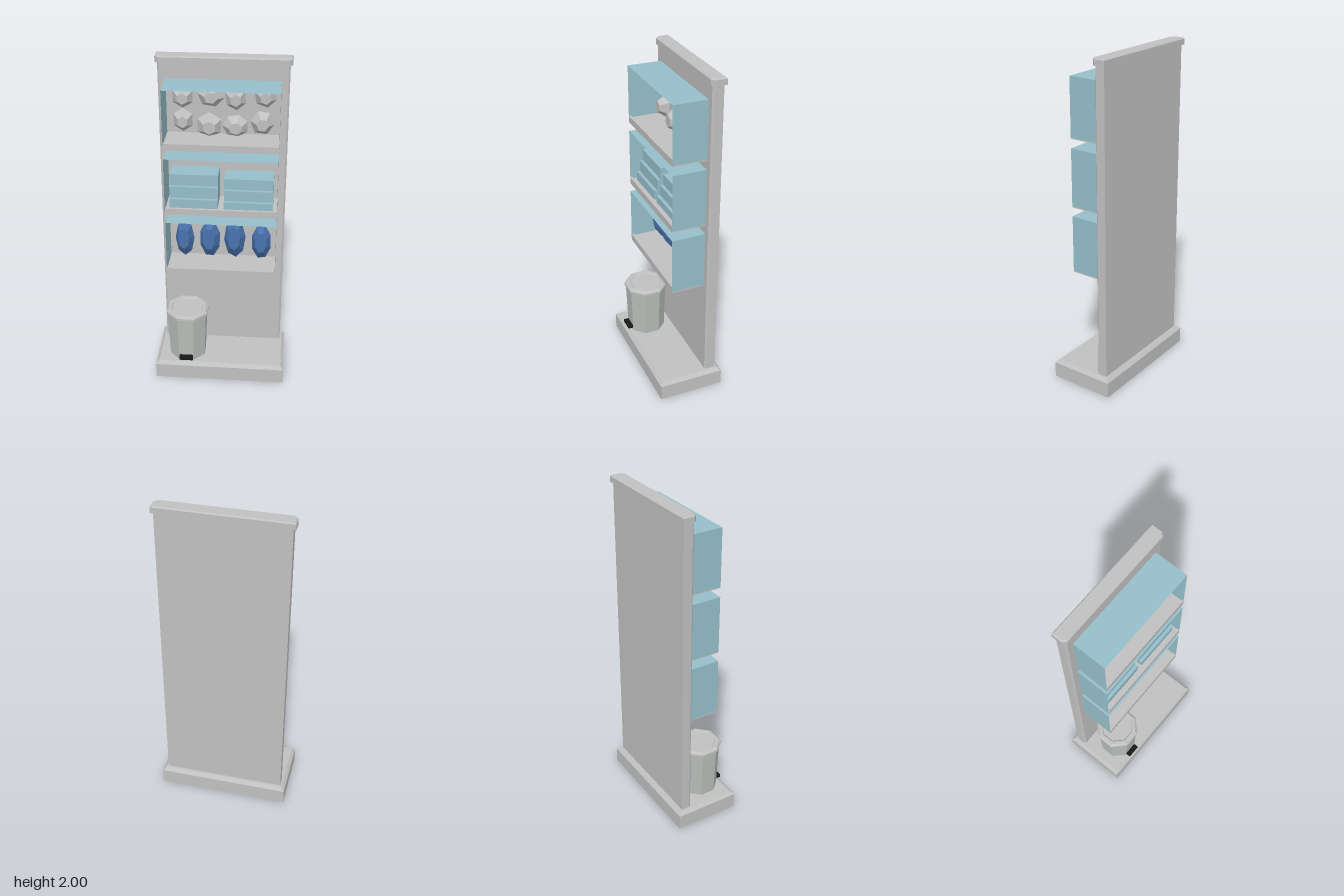
import * as THREE from 'three';

const mat = (name, color) => {
  const m = new THREE.MeshStandardMaterial({ color });
  m.name = name;
  return m;
};

// Faceted normals for low-poly parts
function facet(geo) {
  const g = geo.index ? geo.toNonIndexed() : geo;
  g.computeVertexNormals();
  return g;
}

// Rectangle in x/z with optional chamfered front corners
function outline(hx, back, front, c = 0) {
  return c
    ? [[hx, front - c], [hx, back], [-hx, back], [-hx, front - c], [-hx + c, front], [hx - c, front]]
    : [[hx, front], [hx, back], [-hx, back], [-hx, front]];
}

// Closed solid through matching outlines stacked in y: [[y, outline], ...]
function loft(levels) {
  const pos = [];
  const n = levels[0][1].length;
  const v = (l, i) => {
    const [y, ring] = levels[l];
    const [x, z] = ring[i % n];
    return [x, y, z];
  };
  for (let l = 0; l < levels.length - 1; l++) {
    for (let i = 0; i < n; i++) {
      const a = v(l, i), b = v(l, i + 1), c = v(l + 1, i + 1), d = v(l + 1, i);
      pos.push(...a, ...b, ...c, ...a, ...c, ...d);
    }
  }
  const t = levels.length - 1;
  for (let i = 1; i < n - 1; i++) {
    pos.push(...v(t, 0), ...v(t, i), ...v(t, i + 1));
    pos.push(...v(0, 0), ...v(0, i + 1), ...v(0, i));
  }
  const g = new THREE.BufferGeometry();
  g.setAttribute('position', new THREE.Float32BufferAttribute(pos, 3));
  g.computeVertexNormals();
  return g;
}

// Eight-sided turned shape with flats facing front and sides; radii are measured to the flats
function octagon(profile) {
  const k = 1 / Math.cos(Math.PI / 8);
  const pts = profile.map(([r, y]) => new THREE.Vector2(r * k, y));
  return facet(new THREE.LatheGeometry(pts, 8, Math.PI / 8));
}

// Faceted lump with a flat cap facing +z
function lump(rx, ry, rz, sides, cap, spin, lift) {
  const pts = [[0, -0.85], [cap, -0.85], [1, 0], [cap, 0.85], [0, 0.85]].map(p => new THREE.Vector2(...p));
  const g = new THREE.LatheGeometry(pts, sides, spin);
  g.rotateX(Math.PI / 2);
  const p = g.attributes.position;
  for (let i = 0; i < p.count; i++) {
    const z = p.getZ(i);
    p.setXYZ(i, (p.getX(i) + lift[0] * z) * rx, (p.getY(i) + lift[1] * z) * ry, z * rz);
  }
  return facet(g);
}

export function createModel() {
  const grey = mat('grey', 0xc0c0c0);
  const paleBlue = mat('paleBlue', 0x95bec9);
  paleBlue.side = THREE.DoubleSide;
  const darkBlue = mat('darkBlue', 0x4a72ad);
  const binGrey = mat('binGrey', 0xb8bdb9);
  const black = mat('black', 0x181818);

  const root = new THREE.Group();
  root.name = 'shelfStand';
  const add = (name, geo, material, parent = root, x = 0, y = 0, z = 0) => {
    const m = new THREE.Mesh(geo, material);
    m.name = name;
    m.position.set(x, y, z);
    parent.add(m);
    return m;
  };
  // Box given by its limits
  const block = (name, x0, x1, y0, y1, z0, z1, material, parent) =>
    add(name, new THREE.BoxGeometry(x1 - x0, y1 - y0, z1 - z0), material, parent,
      (x0 + x1) / 2, (y0 + y1) / 2, (z0 + z1) / 2);

  // Plinth, back panel and top cap
  add('base', loft([
    [0, outline(0.4, -0.2, 0.2)], [0.095, outline(0.4, -0.2, 0.2)], [0.115, outline(0.38, -0.18, 0.18)],
  ]), grey);
  add('backPanel', loft([
    [0.11, outline(0.37, -0.167, -0.103, 0.01)], [1.965, outline(0.37, -0.167, -0.103, 0.01)],
  ]), grey);
  add('topCap', loft([
    [1.96, outline(0.384, -0.178, -0.092, 0.02)], [1.993, outline(0.384, -0.178, -0.092, 0.02)],
    [2, outline(0.377, -0.171, -0.099, 0.018)],
  ]), grey);

  // Three open-fronted shelf boxes
  const W = 0.323;
  for (const y of [1.52, 1.115, 0.71]) {
    const shelf = new THREE.Group();
    shelf.name = 'shelfBox';
    shelf.position.y = y;
    root.add(shelf);
    block('shelfFloor', -W, W, 0, 0.03, -0.104, 0.1, grey, shelf);
    block('shelfLip', -W, W, 0.03, 0.04, 0.085, 0.1, grey, shelf);
    for (const s of [-1, 1]) {
      const wall = add('shelfWall', new THREE.PlaneGeometry(0.204, 0.342), paleBlue, shelf, s * (W + 0.001), 0.179, -0.002);
      wall.rotation.y = s * Math.PI / 2;
    }
    const top = add('shelfTop', new THREE.PlaneGeometry(2 * W + 0.002, 0.204), paleBlue, shelf, 0, 0.35, -0.002);
    top.rotation.x = -Math.PI / 2;
  }

  // Faceted balls on the top shelf: x, y, radius x, radius y, sides, spin
  const balls = [
    [-0.23, 1.77, 0.066, 0.068, 6, 0], [-0.07, 1.78, 0.077, 0.07, 6, 0.35],
    [0.07, 1.768, 0.064, 0.072, 6, 0.1], [0.237, 1.785, 0.066, 0.07, 6, 0.2],
    [-0.23, 1.63, 0.062, 0.07, 6, 0], [-0.08, 1.6, 0.078, 0.079, 6, 0],
    [0.07, 1.6, 0.076, 0.07, 7, 0.2], [0.222, 1.625, 0.07, 0.075, 6, 0.4],
  ];
  for (const [x, y, rx, ry, sides, spin] of balls) {
    add('ball', lump(rx, ry, 0.062, sides, 0.5, spin, [0.05, 0.04]), grey, root, x, y, -0.096);
  }

  // Folded stacks on the middle shelf: x limits and layer heights
  const stacks = [[-0.3, -0.02, [1.14, 1.2, 1.27, 1.34]], [0.015, 0.3, [1.14, 1.19, 1.255, 1.32]]];
  for (const [x0, x1, h] of stacks) {
    [0.065, 0.045, 0.025].forEach((front, i) =>
      block('foldedLayer', x0, x1, h[i], h[i + 1], -0.102, front, paleBlue));
  }

  // Tall faceted bundles on the lower shelf: x, y, radius x, radius y, spin
  const bundles = [
    [-0.232, 0.867, 0.058, 0.125, 0], [-0.078, 0.868, 0.064, 0.128, 0.35],
    [0.073, 0.878, 0.066, 0.136, 0.1], [0.235, 0.858, 0.061, 0.12, 0.45],
  ];
  for (const [x, y, rx, ry, spin] of bundles) {
    add('bundle', lump(rx, ry, 0.06, 8, 0.58, spin, [-0.06, 0.17]), darkBlue, root, x, y, -0.075);
  }

  // Pedal bin
  const bin = new THREE.Group();
  bin.name = 'bin';
  bin.position.set(-0.21, 0, 0.054);
  root.add(bin);
  add('binBody', octagon([[0, 0.114], [0.108, 0.114], [0.119, 0.425], [0, 0.425]]), binGrey, bin);
  add('binLid', octagon([
    [0, 0.422], [0.127, 0.422], [0.127, 0.436], [0.113, 0.45], [0.097, 0.45], [0.09, 0.442], [0, 0.442],
  ]), grey, bin);
  block('binPedal', -0.042, 0.042, 0.134, 0.154, 0.1, 0.14, black, bin);

  return root;
}
